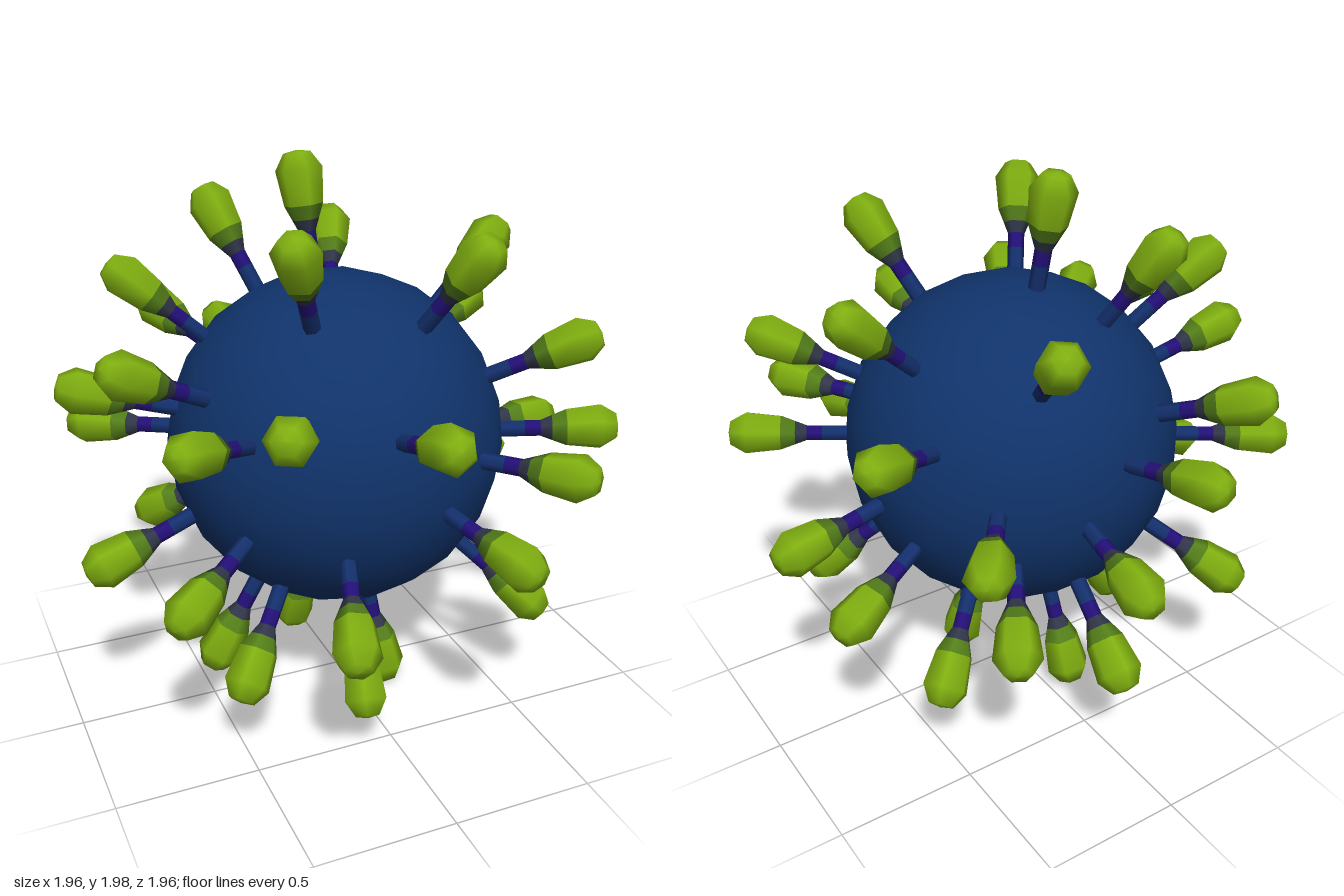
import * as THREE from 'three';

// Spike directions from the core, by height band
const SPIKES = [
  // top
  [-.08, .89, -.12], [-.30, .77, .41], [.28, .73, .49], [-.30, .755, -.41],
  // upper
  [.655, .63, -.11], [-.68, .60, -.20], [.245, .60, -.645], [.69, .39, .44], [.75, .31, -.43],
  [-.44, .33, .72], [-.70, .26, .56], [-.015, .29, .87], [-.79, .40, .215], [-.88, .26, -.09],
  [-.45, .33, -.735], [-.143, .186, -.87],
  // middle
  [.49, .06, .745], [.81, .06, .43], [.89, -.11, -.10], [.246, -.145, .84], [-.79, -.01, -.48],
  [.54, .03, -.71], [.106, -.10, -.865],
  // lower
  [.78, -.29, -.295], [-.263, -.35, .78], [-.69, -.28, .50], [-.88, -.306, .08], [.44, -.30, -.71],
  [-.50, -.63, .44], [.54, -.55, .42], [.53, -.61, -.41], [.04, -.56, -.72], [-.54, -.46, -.59],
  // bottom
  [-.12, -.73, .535], [.12, -.87, .154], [-.066, -.86, -.286], [-.46, -.79, -.01],
];

const lathe = (points, sides) =>
  new THREE.LatheGeometry(points.map(([r, y]) => new THREE.Vector2(r, y)), sides);

const paint = (color) => new THREE.MeshStandardMaterial({ color });

export function createModel() {
  const model = new THREE.Group();
  model.name = 'spikedBall';
  const centre = new THREE.Vector3(-.01, 1.005, .01);

  // Round core
  const core = new THREE.Mesh(new THREE.IcosahedronGeometry(.6, 3), paint(0x10336b));
  core.name = 'core';
  core.position.copy(centre);
  model.add(core);

  // Spike parts: profiles of radius and distance from the core's centre
  const parts = [
    ['stalk', lathe([[.03, .55], [.03, .68]], 6), paint(0x14306e)],
    ['upperStalk', lathe([[.03, .68], [.03, .735]], 6), paint(0x24107a)],
    ['neck', lathe([[.03, .735], [.047, .775]], 6), paint(0x32384a)],
    ['collar', lathe([[.047, .775], [.068, .825]], 6), paint(0x55801a)],
    ['bulb', lathe([[.068, .825], [.082, .945], [.047, 1.0], [0, 1.008]], 6), paint(0x7fae10)],
  ];

  const up = new THREE.Vector3(0, 1, 0);
  for (const [x, y, z] of SPIKES) {
    const spike = new THREE.Group();
    spike.name = 'spike';
    spike.position.copy(centre);
    const direction = new THREE.Vector3(x, y + 1, z).sub(centre).normalize();
    spike.quaternion.setFromUnitVectors(up, direction);
    for (const [name, geometry, material] of parts) {
      const mesh = new THREE.Mesh(geometry, material);
      mesh.name = name;
      spike.add(mesh);
    }
    model.add(spike);
  }
  return model;
}
